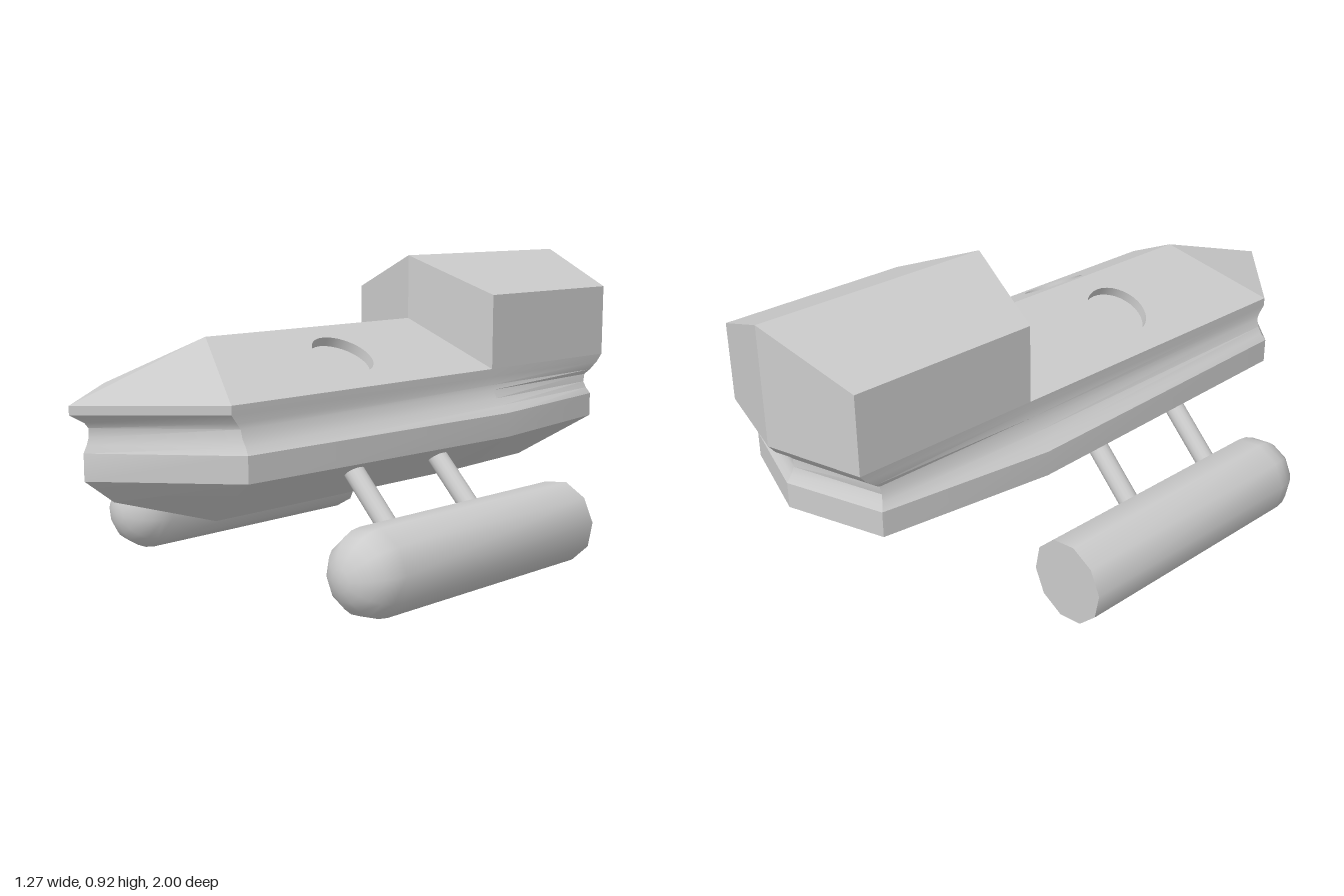
import * as THREE from 'three';
import { toCreasedNormals } from 'three/addons/utils/BufferGeometryUtils.js';

const material = new THREE.MeshStandardMaterial({ color: 0xcccccc });
const thin = new THREE.MeshStandardMaterial({ color: 0xcccccc, side: THREE.DoubleSide });

function part(name, geometry, mat = material) {
  const mesh = new THREE.Mesh(geometry, mat);
  mesh.name = name;
  return mesh;
}

function triangles(list, crease = 0.5) {
  const geometry = new THREE.BufferGeometry();
  geometry.setAttribute('position', new THREE.Float32BufferAttribute(list.flat(), 3));
  return toCreasedNormals(geometry, crease);
}

// Symmetric closed ring from its left half, front to back: [x, z, optional y]
function ring(y, half) {
  const left = half.map(([x, z, py = y]) => [x, py, z]);
  const right = left.slice(1, -1).reverse().map(([x, py, z]) => [-x, py, z]);
  return [...left, ...right];
}

// Skin between rings from bottom to top, with optional end caps
function loft(rings, capBottom, capTop) {
  const out = [];
  const n = rings[0].length;
  for (let r = 0; r < rings.length - 1; r++) {
    const a = rings[r], b = rings[r + 1];
    for (let i = 0; i < n; i++) {
      const j = (i + 1) % n;
      out.push(a[i], a[j], b[j], a[i], b[j], b[i]);
    }
  }
  const first = rings[0], last = rings[rings.length - 1];
  for (let i = 1; i < n - 1; i++) {
    if (capBottom) out.push(first[0], first[i + 1], first[i]);
    if (capTop) out.push(last[0], last[i], last[i + 1]);
  }
  return triangles(out);
}

const deckY = x => 0.73 - 0.5 * Math.abs(x);
const slope = Math.atan(0.5);

export function createModel() {
  const model = new THREE.Group();
  model.name = 'ship';

  // Hull: y, front tip z, front corner x z, middle x, rear corner x z, rear tip z
  const levels = [
    [0.38, 0.96, 0.325, 0.675, 0.36, 0.29, -0.86, -0.955],
    [0.455, 0.96, 0.325, 0.675, 0.36, 0.29, -0.86, -0.955],
    [0.475, 0.95, 0.31, 0.67, 0.33, 0.28, -0.85, -0.94],
    [0.495, 0.943, 0.297, 0.67, 0.31, 0.272, -0.845, -0.93],
    [0.52, 0.943, 0.29, 0.67, 0.297, 0.272, -0.85, -0.93],
    [0.535, 0.955, 0.288, 0.68, 0.292, 0.28, -0.87, -0.945],
    [0.56, 1, 0.29, 0.7, 0.29, 0.286, -0.9, -0.98],
    [0.585, 1, 0.29, 0.7, 0.29, 0.29, -0.92, -1],
  ];
  const keel = ring(0.24, [[0, 0.87, 0.31], [0.13, 0.63], [0.13, -0.34], [0.1, -0.72], [0, -0.77]]);
  const rings = levels.map(([y, zf, xF, zF, xM, xB, zB, zb]) =>
    ring(y, [[0, zf], [xF, zF], [xM, -0.34], [xB, zB], [0, zb]]));
  model.add(part('hull', loft([keel, ...rings], true, false)));

  // Rear cabin with a ridged roof
  const plan = [[0, -0.265, 0.93], [0.29, -0.34, 0.815], [0.29, -0.92, 0.815], [0, -1, 0.93]];
  const foot = plan.map(([x, z]) => [x, z]);
  model.add(part('cabin', loft([ring(0.585, foot), ring(0.815, plan)], false, true)));

  // Sloping facets of the bow
  const ridge = [0, 0.73, 0.555], tip = [0, 0.585, 1];
  model.add(part('bowDeck', triangles([
    ridge, tip, [0.29, 0.585, 0.7],
    ridge, [-0.29, 0.585, 0.7], tip,
  ], 0.1)));

  for (const s of [1, -1]) {
    const side = new THREE.Group();
    side.name = s > 0 ? 'leftSide' : 'rightSide';

    // Deck slope with a round opening
    const shape = new THREE.Shape([[0, -0.555], [0.29, -0.7], [0.29, 0.34], [0, 0.265]]
      .map(([x, y]) => new THREE.Vector2(s * x, y)));
    const hole = new THREE.Path();
    hole.absellipse(s * 0.14, -0.16, 0.095 * Math.cos(slope), 0.095, 0, Math.PI * 2);
    shape.holes.push(hole);
    const deck = new THREE.ShapeGeometry(shape, 16).rotateX(-Math.PI / 2);
    const p = deck.attributes.position;
    for (let i = 0; i < p.count; i++) p.setY(i, deckY(p.getX(i)));
    deck.computeVertexNormals();
    side.add(part('deck', deck));

    // Recessed hatch: wall and floor, square to the slope
    const hatch = new THREE.Group();
    hatch.name = 'hatch';
    const depth = 0.03;
    hatch.add(part('hatchWall',
      new THREE.CylinderGeometry(0.095, 0.095, depth, 32, 1, true).translate(0, -depth / 2, 0), thin));
    hatch.add(part('hatchFloor',
      new THREE.CircleGeometry(0.095, 32).rotateX(-Math.PI / 2).translate(0, -depth, 0)));
    hatch.position.set(s * 0.14, deckY(0.14), 0.16);
    hatch.rotation.z = -s * slope;
    side.add(hatch);

    // Ten-sided pod with a domed nose
    const r = 0.126;
    const profile = [new THREE.Vector2(0, -0.41), new THREE.Vector2(r, -0.41)];
    for (let i = 0; i <= 6; i++) {
      const a = (i / 6) * Math.PI / 2;
      profile.push(new THREE.Vector2(i === 6 ? 0 : r * Math.cos(a), 0.4 + r * Math.sin(a)));
    }
    const pod = new THREE.LatheGeometry(profile, 10, s * THREE.MathUtils.degToRad(25), Math.PI * 2);
    pod.rotateX(Math.PI / 2).translate(s * 0.508, 0.129, 0);
    side.add(part('pod', toCreasedNormals(pod, 0.8)));

    // Diagonal struts from hull to pod
    for (const z of [0.265, -0.08]) {
      const strut = part('strut', new THREE.CylinderGeometry(0.03, 0.03, 0.29, 16));
      strut.position.set(s * 0.365, 0.28, z);
      strut.rotation.z = s * Math.PI / 4;
      side.add(strut);
    }
    model.add(side);
  }
  return model;
}
